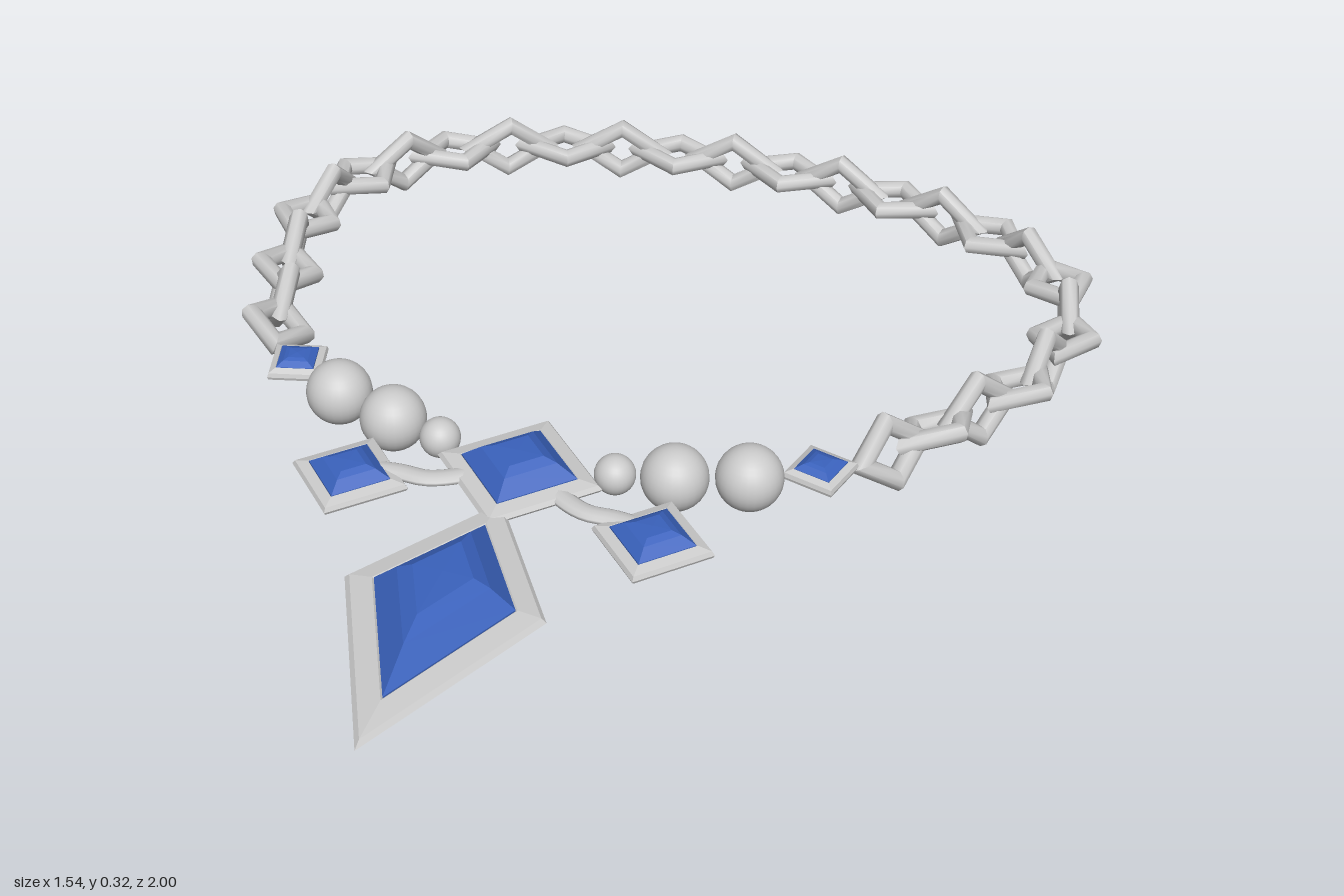
import * as THREE from 'three';
import { toCreasedNormals } from 'three/addons/utils/BufferGeometryUtils.js';

const metal = new THREE.MeshStandardMaterial({ color: 0xcccccc });
const blue = new THREE.MeshStandardMaterial({ color: 0x3a62bd });
const CX = -0.0135; // centre line of the pendant

function add(parent, name, geometry, material) {
  const mesh = new THREE.Mesh(geometry, material);
  mesh.name = name;
  parent.add(mesh);
  return mesh;
}

// Faceted kite: a four-sided lathe stretched separately to the back and the front
function kite(profile, halfWidth, back, front) {
  const pts = profile.map(([s, y]) => new THREE.Vector2(s, y));
  const g = new THREE.LatheGeometry(pts, 4).toNonIndexed();
  const p = g.attributes.position;
  for (let i = 0; i < p.count; i++) {
    const z = p.getZ(i);
    p.setX(i, p.getX(i) * halfWidth);
    p.setZ(i, z * (z < 0 ? back : front));
  }
  g.computeVertexNormals();
  return g;
}

// Bevelled plate with a table-cut stone on top
function setting(name, x, y, z, halfWidth, back, front, gemHeight, turn = 0) {
  const group = new THREE.Group();
  group.name = name;
  const plate = [[0, 0], [0.97, 0], [1, 0.005], [0.95, 0.012], [0.72, 0.017], [0.69, 0.013], [0, 0.013]];
  const shoulder = 0.017 + (gemHeight - 0.017) * 0.72;
  const stone = [[0.7, 0.013], [0.7, 0.017], [0.46, shoulder], [0.3, gemHeight], [0, gemHeight + 0.001]];
  add(group, 'plate', kite(plate, halfWidth, back, front), metal);
  add(group, 'gem', kite(stone, halfWidth, back, front), blue);
  group.position.set(x, y, z);
  group.rotation.y = turn;
  return group;
}

// Chain of diamond-shaped links, turned a quarter from one to the next
function chain() {
  const group = new THREE.Group();
  group.name = 'chain';
  const path = [
    [-0.552, 0.09], [-0.638, -0.13], [-0.70, -0.355], [-0.68, -0.57], [-0.565, -0.76],
    [-0.38, -0.875], [-0.156, -0.932], [0.077, -0.938], [0.305, -0.892], [0.51, -0.80],
    [0.66, -0.648], [0.708, -0.445], [0.673, -0.222], [0.578, -0.02], [0.518, 0.10],
  ];
  const curve = new THREE.CatmullRomCurve3(
    path.map(([x, z]) => new THREE.Vector3(x, 0.225 + 0.166 * z, z)));
  curve.arcLengthDivisions = 600;

  let link = new THREE.TorusGeometry(0.073, 0.029, 8, 4);
  link.scale(1, 0.65, 0.6);
  link = toCreasedNormals(link, 0.95);

  const count = 28;
  const up = new THREE.Vector3(0, 1, 0);
  for (let i = 0; i < count; i++) {
    const u = i / (count - 1);
    const t = curve.getTangentAt(u);
    // The chain rolls outward a little towards its two ends
    const roll = 0.45 * Math.abs(2 * u - 1) ** 3;
    const side = new THREE.Vector3().crossVectors(up, t).normalize().applyAxisAngle(t, roll);
    const top = new THREE.Vector3().crossVectors(t, side);
    const flat = i % 2 === 0;
    const basis = flat
      ? new THREE.Matrix4().makeBasis(t, side, top)
      : new THREE.Matrix4().makeBasis(t, top, side.negate());
    const mesh = add(group, flat ? 'flatLink' : 'uprightLink', link, metal);
    mesh.quaternion.setFromRotationMatrix(basis);
    mesh.position.copy(curve.getPointAt(u));
  }
  return group;
}

export function createModel() {
  const model = new THREE.Group();
  model.name = 'necklace';
  model.add(chain());

  // Central pendant
  model.add(setting('centreSetting', CX, 0.253, 0.359, 0.137, 0.137, 0.137, 0.048));
  model.add(setting('dropPendant', CX, 0.25, 0.672, 0.159, 0.237, 0.328, 0.06));

  for (const s of [-1, 1]) {
    const sideName = s > 0 ? 'left' : 'right';
    // Side settings, their curved arms and the small settings next to the chain
    model.add(setting(sideName + 'SideSetting', CX + s * 0.248, 0.25, 0.449, 0.098, 0.098, 0.098, 0.036));
    model.add(setting(sideName + 'ChainSetting', CX + s * 0.445, 0.257, 0.21, 0.062, 0.062, 0.062,
      0.026, s * (Math.PI / 4 - 0.26)));
    const arm = new THREE.CatmullRomCurve3([[0.25, 0.43], [0.18, 0.42], [0.13, 0.42], [0.08, 0.395], [0.03, 0.35]]
      .map(([x, z]) => new THREE.Vector3(CX + s * x, 0, z)));
    const tube = new THREE.TubeGeometry(arm, 20, 0.018, 10);
    tube.scale(1, 0.5, 1).translate(0, 0.259, 0);
    add(model, sideName + 'Arm', tube, metal);

    // Beads
    for (const [x, z, r] of [[0.346, 0.265, 0.054], [0.236, 0.302, 0.054], [0.146, 0.325, 0.033]]) {
      const bead = add(model, sideName + 'Bead', new THREE.SphereGeometry(r, 28, 18), metal);
      bead.position.set(CX + s * x, 0.266, z);
    }
  }
  return model;
}
